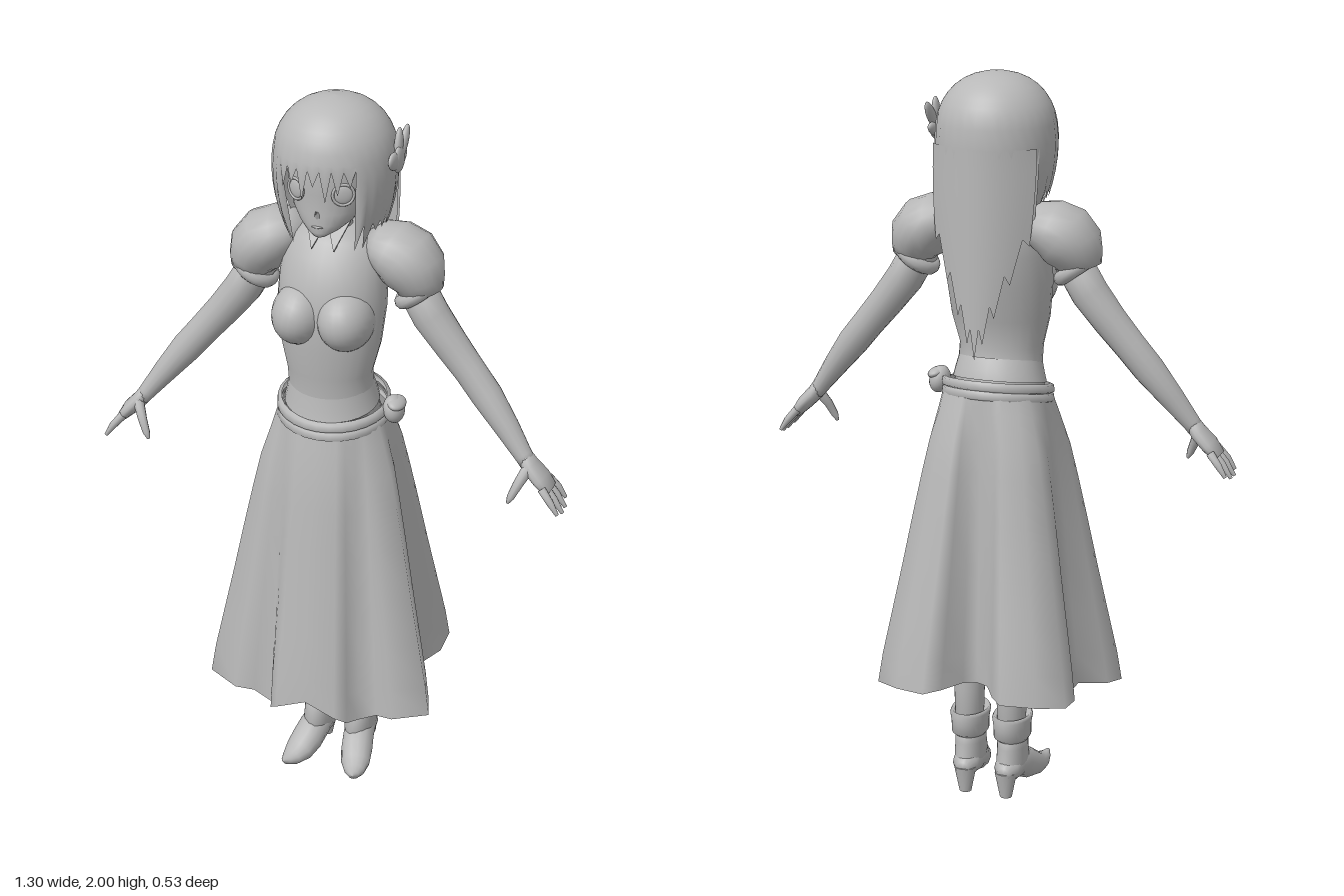
import * as THREE from 'three';

const grey = new THREE.MeshStandardMaterial({ color: 0xb8b8b8, side: THREE.DoubleSide });
grey.name = 'plain grey';
const V = (x, y, z) => new THREE.Vector3(x, y, z);

function add(parent, name, geometry, pos = [0, 0, 0], rot = [0, 0, 0], scale = [1, 1, 1]) {
  const m = new THREE.Mesh(geometry, grey);
  m.name = name;
  m.position.set(...pos);
  m.rotation.set(...rot);
  m.scale.set(...scale);
  parent.add(m);
  return m;
}

// Surface through rows of points; rows run bottom to top, points anticlockwise from above
function grid(rows, { closed = true, caps = false } = {}) {
  const n = rows[0].length, pos = [], idx = [];
  rows.forEach(r => r.forEach(p => pos.push(p.x, p.y, p.z)));
  for (let i = 0; i < rows.length - 1; i++) {
    for (let j = 0; j < (closed ? n : n - 1); j++) {
      const k = (j + 1) % n, a = i * n + j, b = i * n + k;
      idx.push(a, b, a + n, b, b + n, a + n);
    }
  }
  if (caps) [0, rows.length - 1].forEach((i, end) => {
    const c = rows[i].reduce((s, p) => s.add(p), V(0, 0, 0)).divideScalar(n);
    const ci = pos.length / 3;
    pos.push(c.x, c.y, c.z);
    for (let j = 0; j < n; j++) {
      const a = i * n + j, b = i * n + (j + 1) % n;
      end ? idx.push(a, b, ci) : idx.push(b, a, ci);
    }
  });
  const g = new THREE.BufferGeometry();
  g.setAttribute('position', new THREE.Float32BufferAttribute(pos, 3));
  g.setIndex(idx);
  g.computeVertexNormals();
  return g;
}

// Horizontal ellipse [y, half width, front z, back z], optionally lower at the front or moved in x
function ring([y, rx, zf, zb], tilt = 0, cx = 0, n = 28) {
  return Array.from({ length: n }, (_, j) => {
    const a = j / n * Math.PI * 2, z = (zf + zb) / 2 + Math.cos(a) * (zf - zb) / 2;
    return V(cx + rx * Math.sin(a), y - tilt * (z - 0.03), z);
  });
}
const rings = (list, caps = true, tilt = 0, cx = 0) => grid(list.map(r => ring(r, tilt, cx)), { caps });

// Tube through [x, y, z, radius along U, radius across U]
function limb(pts, U, n = 14) {
  const c = pts.map(p => V(p[0], p[1], p[2]));
  return grid(pts.map((p, i) => {
    const T = c[Math.min(i + 1, c.length - 1)].clone().sub(c[Math.max(i - 1, 0)]).normalize();
    const A = U.clone().addScaledVector(T, -U.dot(T)).normalize(), B = T.clone().cross(A);
    return Array.from({ length: n }, (_, j) => {
      const a = j / n * Math.PI * 2;
      return c[i].clone().addScaledVector(A, Math.cos(a) * p[3]).addScaledVector(B, Math.sin(a) * p[4]);
    });
  }), { caps: true });
}

const ball = new THREE.SphereGeometry(1, 24, 16);

function buildSkirt(g) {
  // Half of the five-lobed hem, from front centre to back centre
  const half = [[0, .262, .335], [.085, .262, .3], [.112, .235, .275], [.13, .188, .26], [.18, .187, .285],
    [.23, .203, .295], [.322, .155, .3], [.3, .09, .31], [.235, .03, .325], [.237, -.04, .33], [.27, -.11, .335],
    [.27, -.19, .345], [.2, -.23, .35], [.11, -.265, .36], [.072, -.22, .36], [.035, -.155, .36], [0, -.14, .36]];
  const hem = [...half, ...half.slice(1, -1).reverse().map(([x, z, y]) => [-x, z, y])];
  // [share of the drop, share of the flare]
  const steps = [[1, 1], [.9, .93], [.75, .79], [.6, .65], [.42, .49], [.28, .36], [.18, .26], [.08, .12], [0, 0]];
  add(g, 'skirt', grid(steps.map(([t, s]) => hem.map(([x, z, y]) => {
    const a = Math.atan2(x, z - .03), wx = .145 * Math.sin(a), wz = .028 + .125 * Math.cos(a);
    const wy = 1.155 - .2 * (wz - .03);
    return V(wx + (x - wx) * s, wy + (y - wy) * t, wz + (z - wz) * s);
  }))));
  [1.135, 1.16].forEach(y => add(g, 'belt', rings([[y - .013, .146, .156, -.1], [y - .009, .154, .163, -.107],
    [y + .009, .152, .161, -.105], [y + .013, .142, .15, -.095]], false, .2)));
  add(g, 'pouch', ball, [.168, 1.158, .03], [0, 0, .2], [.028, .038, .036]);
  add(g, 'pouchFlap', ball, [.176, 1.177, .03], [0, 0, -.3], [.024, .014, .038]);
}

function buildTorso(g) {
  add(g, 'bodice', rings([[1.12, .135, .145, -.09], [1.2, .115, .14, -.055], [1.27, .115, .15, -.035],
    [1.35, .135, .157, -.055], [1.45, .145, .163, -.08], [1.53, .143, .148, -.095], [1.59, .135, .118, -.095],
    [1.63, .115, .09, -.085], [1.66, .065, .06, -.05]]));
  add(g, 'bodiceHem', rings([[1.175, .128, .155, -.07], [1.2, .122, .149, -.062], [1.235, .114, .143, -.045]], false, .2));
  add(g, 'neck', rings([[1.62, .055, .07, -.04], [1.67, .043, .065, -.025], [1.75, .042, .07, -.02]]));
  for (const s of [1, -1]) {
    add(g, 'bust', ball, [s * .062, 1.435, .105], [0, 0, s * .15], [.074, .083, .095]);
    // Pointed collar flap
    const shape = new THREE.Shape([[0, .03], [s * .06, .04], [s * .03, -.045]].map(p => new THREE.Vector2(...p)));
    add(g, 'collar', new THREE.ExtrudeGeometry(shape, { depth: .006, bevelEnabled: false }), [0, 1.655, .086], [-.55, 0, 0]);
  }
}

function buildArm(g, s) {
  const Z = V(0, 0, 1);
  const tube = (name, pts, n) => add(g, name, limb(pts.map(([x, ...r]) => [s * x, ...r]), Z, n));
  // Puffed sleeve and its cuff
  tube('sleeve', [[.09, 1.61, 0, .05, .035], [.12, 1.61, 0, .08, .06], [.155, 1.603, .003, .095, .074],
    [.19, 1.585, .007, .1, .083], [.215, 1.555, .01, .093, .08], [.228, 1.525, .012, .075, .065], [.235, 1.5, .012, .06, .055]], 20);
  const cuff = add(g, 'sleeveCuff', new THREE.TorusGeometry(.05, .02, 10, 24), [s * .224, 1.5, .012]);
  cuff.quaternion.setFromUnitVectors(Z, V(s * .58, -.81, 0).normalize());
  tube('arm', [[.21, 1.52, .01, .052, .05], [.26, 1.435, .012, .053, .05], [.315, 1.365, .015, .046, .046],
    [.37, 1.3, .02, .04, .043], [.42, 1.24, .027, .041, .042], [.48, 1.165, .04, .034, .033],
    [.53, 1.1, .053, .026, .024], [.545, 1.08, .055, .027, .022]]);
  tube('palm', [[.53, 1.105, .053, .022, .02], [.55, 1.075, .055, .034, .022], [.58, 1.045, .056, .043, .021],
    [.605, 1.015, .056, .04, .014]]);
  [.02, .044, .068, .091].forEach((z, i) => {
    const out = (z - .055) * .25, l = [.85, 1, 1.02, .9][i];
    tube('finger', [[.592, 1.03, z, .011, .012], [.592 + .03 * l, 1.03 - .035 * l, z + out, .01, .01],
      [.592 + .053 * l, 1.03 - .069 * l, z + out * 1.3, .005, .005]], 8);
  });
  tube('thumb', [[.55, 1.075, .075, .014, .016], [.53, 1.035, .098, .012, .013], [.515, 1.0, .108, .01, .01],
    [.508, .983, .11, .004, .004]], 8);
}

function buildLeg(g, s) {
  const at = (name, list) => add(g, name, rings(list, true, 0, s * .062));
  at('leg', [[.17, .038, .012, -.075], [.3, .042, .014, -.078], [.45, .052, .03, -.085], [.6, .05, .04, -.06],
    [.85, .064, .085, -.06], [1.08, .06, .1, -.06]]);
  // Boot: cuff, shaft, foot with upturned toe, heel
  at('bootCuff', [[.158, .042, .03, -.075], [.17, .05, .044, -.092], [.2, .05, .046, -.096], [.226, .054, .052, -.1],
    [.236, .05, .045, -.092], [.22, .036, .012, -.072]]);
  at('bootShaft', [[.06, .038, .03, -.095], [.1, .042, .05, -.09], [.14, .041, .036, -.08], [.19, .043, .03, -.08]]);
  add(g, 'bootFoot', limb([[.06, .075, -.098, .018, .02], [.061, .078, -.07, .037, .036], [.062, .085, -.03, .042, .045],
    [.067, .075, .01, .044, .046], [.076, .053, .05, .045, .044], [.086, .037, .09, .041, .034],
    [.095, .033, .125, .029, .022], [.101, .038, .15, .016, .012], [.104, .047, .166, .004, .004]]
    .map(([x, ...r]) => [s * x, ...r]), V(1, 0, 0)));
  add(g, 'bootHeel', new THREE.CylinderGeometry(.032, .017, .075, 12), [s * .06, .0375, -.072]);
}

function buildHead(g) {
  add(g, 'face', rings([[1.668, .018, .145, .1], [1.68, .042, .15, .05], [1.7, .068, .151, 0], [1.73, .092, .15, -.04],
    [1.78, .11, .148, -.08], [1.85, .122, .155, -.1], [1.92, .105, .135, -.09], [1.96, .06, .09, -.05]]));
  add(g, 'nose', new THREE.ConeGeometry(.012, .03, 8), [0, 1.732, .15], [.75, 0, 0]);
  add(g, 'mouth', ball, [0, 1.697, .151], [0, 0, 0], [.016, .003, .003]);
  for (const s of [1, -1]) {
    add(g, 'eyeRim', new THREE.TorusGeometry(.027, .004, 6, 24), [s * .063, 1.785, .131], [0, s * .5, 0]);
    add(g, 'eye', ball, [s * .063, 1.785, .13], [0, s * .5, 0], [.024, .024, .006]);
  }
  // Cap of hair with ragged fringe, side locks and back
  const n = 64, rows = [];
  const hemY = j => {
    const a = Math.min(j, n - j) / n * Math.PI * 2, zig = j % 2 ? 0 : 1;
    if (a < .75) return 1.855 - zig * (.04 + .02 * ((j * 7) % 3));
    if (a < 1.1) return 1.7 - zig * .075;
    if (a < 1.75) return 1.7 - zig * .025;
    return 1.62 - zig * .02;
  };
  for (let i = 0; i <= 14; i++) {
    rows.push(Array.from({ length: n }, (_, j) => {
      const a = j / n * Math.PI * 2, t = i / 14, low = hemY(j);
      const y = i < 6 ? low + (1.87 - low) * i / 6 : 1.82 + .18 * Math.sin(.281 + (Math.PI / 2 - .281) * (i - 6) / 8);
      const h = (y - 1.82) / .18;
      const r = h > 0 ? Math.pow(Math.max(0, 1 - Math.pow(h, 2.4)), 1 / 2.2) : 1 - .24 * h * h;
      const lock = j % 2 && t < .5 ? .985 : 1;
      return V(.161 * r * lock * Math.sin(a), y, .016 + .166 * r * lock * Math.cos(a));
    }));
  }
  add(g, 'hair', grid(rows));
  // Long tapering hair down the back, outer and inner layer
  [0, 1].forEach(layer => {
    const cols = 17, back = [];
    for (let i = 0; i <= 8; i++) {
      back.push(Array.from({ length: cols }, (_, j) => {
        const u = 1 - j / (cols - 1) * 2, low = 1.27 + layer * .05 + .3 * Math.pow(Math.abs(u), 1.4) + (j % 2 ? .07 : 0);
        const y = low + (1.82 - low) * i / 8, t = Math.max(0, (1.8 - y) / .53);
        return V(u * (.142 - .07 * t * t), y, -.15 + layer * .018 + .075 * u * u * (1 - .45 * t) - .006 * t);
      }));
    }
    add(g, 'backHair', grid(back, { closed: false }));
  });
  // Winged ornament on the left side: [y, z, lean, length, width]
  [[1.852, .035, 1.25, .04, .024], [1.85, .012, .3, .035, .034], [1.885, .004, -.15, .044, .016],
    [1.882, -.022, -.75, .05, .017], [1.845, -.015, -1.2, .034, .016]].forEach(([y, z, a, l, w], i) =>
    add(g, 'hairOrnament', ball, [.163 + (i % 2) * .004, y, z], [a, 0, 0], [.011, l, w]));
}

export function createModel() {
  const model = new THREE.Group();
  model.name = 'figure';
  const part = (name, build, ...args) => {
    const g = new THREE.Group();
    g.name = name;
    build(g, ...args);
    model.add(g);
  };
  part('head', buildHead);
  part('torso', buildTorso);
  part('skirtAndBelt', buildSkirt);
  for (const s of [1, -1]) {
    const side = s > 0 ? 'left' : 'right';
    part(side + 'Arm', buildArm, s);
    part(side + 'Leg', buildLeg, s);
  }
  return model;
}
